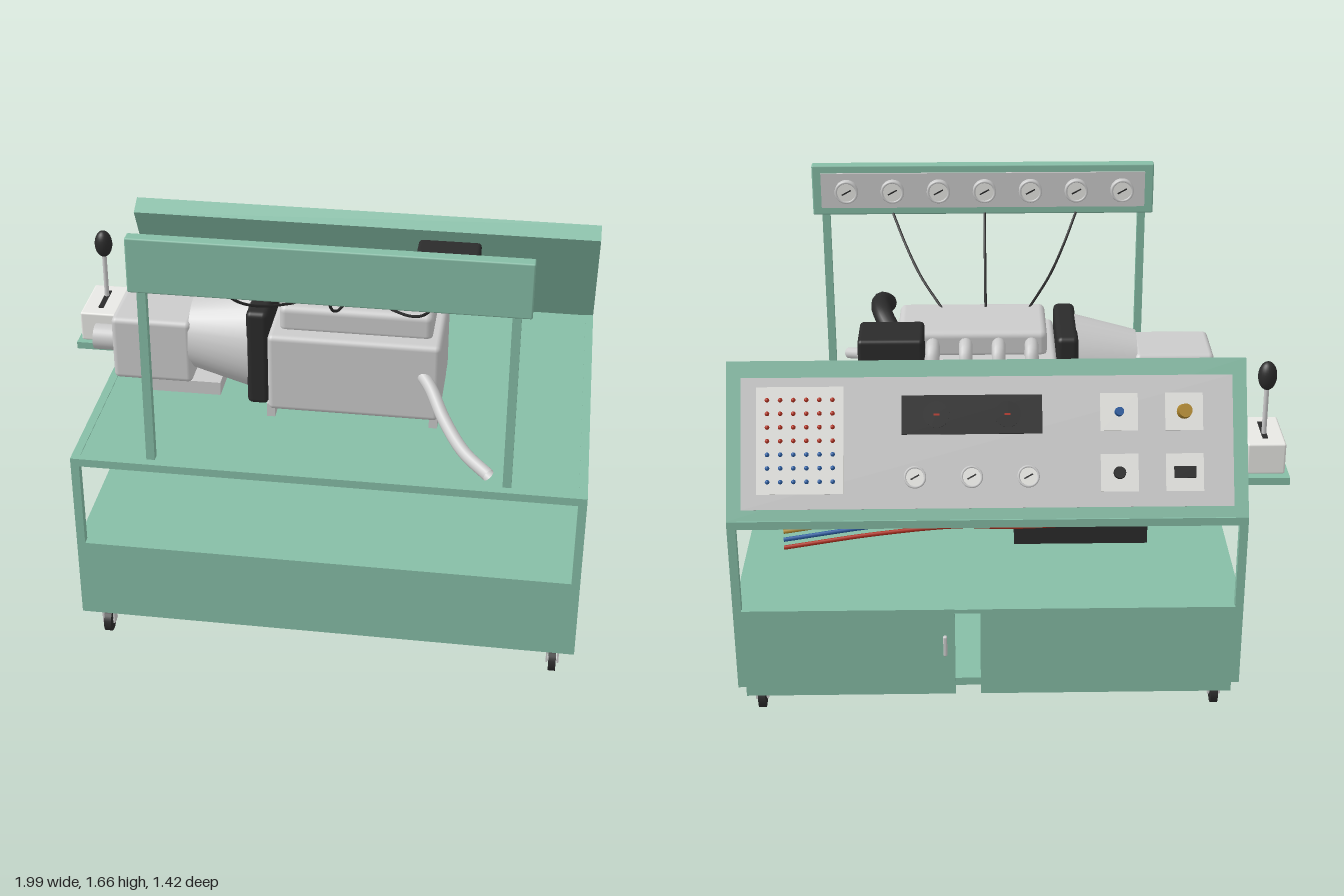
import * as THREE from 'three';
import { RoundedBoxGeometry } from 'three/addons/geometries/RoundedBoxGeometry.js';

const mat = (color) => new THREE.MeshStandardMaterial({ color, side: THREE.DoubleSide });
const GREEN = mat(0x86bda6), GREY = mat(0xcccccc), BLACK = mat(0x2b2b2b), WHITE = mat(0xe8e8e4);
const RED = mat(0xb03020), BLUE = mat(0x2a5ca0), GOLD = mat(0xb08830);

function add(parent, name, geometry, material, x = 0, y = 0, z = 0) {
  const mesh = new THREE.Mesh(geometry, material);
  mesh.name = name;
  mesh.position.set(x, y, z);
  parent.add(mesh);
  return mesh;
}

// Box given by its limits on each axis; r rounds the edges
function box(parent, name, material, [x0, x1], [y0, y1], [z0, z1], r = 0) {
  const w = x1 - x0, h = y1 - y0, d = z1 - z0;
  const geo = r ? new RoundedBoxGeometry(w, h, d, 3, r) : new THREE.BoxGeometry(w, h, d);
  return add(parent, name, geo, material, (x0 + x1) / 2, (y0 + y1) / 2, (z0 + z1) / 2);
}

// Cylinder along a chosen axis; r1 is the radius at the positive end
function cyl(parent, name, material, axis, r0, r1, len, x, y, z, seg = 32) {
  const geo = new THREE.CylinderGeometry(r1, r0, len, seg);
  if (axis === 'x') geo.rotateZ(-Math.PI / 2);
  if (axis === 'z') geo.rotateX(Math.PI / 2);
  return add(parent, name, geo, material, x, y, z);
}

function tube(parent, name, material, points, r, seg = 32) {
  const curve = new THREE.CatmullRomCurve3(points.map((p) => new THREE.Vector3(...p)));
  return add(parent, name, new THREE.TubeGeometry(curve, seg, r, 12), material);
}

// Dial facing local +z
function gauge(parent, x, y, z, r) {
  const g = new THREE.Group();
  g.name = 'gauge';
  g.position.set(x, y, z);
  cyl(g, 'gaugeBody', GREY, 'z', r, r, 0.022, 0, 0, 0.011);
  add(g, 'gaugeBezel', new THREE.TorusGeometry(r * 0.9, r * 0.12, 8, 32), GREY, 0, 0, 0.022);
  cyl(g, 'gaugeFace', WHITE, 'z', r * 0.8, r * 0.8, 0.004, 0, 0, 0.022);
  const needle = add(g, 'needle', new THREE.BoxGeometry(r * 0.9, 0.005, 0.003), BLACK, 0, 0, 0.026);
  needle.rotation.z = 0.5;
  parent.add(g);
}

function buildCart(root) {
  const g = new THREE.Group();
  g.name = 'cart';
  const X = [-0.81, 0.99], Z = [-0.69, 0.71], t = 0.03;
  const ends = ([a, b]) => [[a, a + t], [b - t, b]];

  // Corner posts and rails
  for (const x of ends(X)) for (const z of ends(Z)) box(g, 'cornerPost', GREEN, x, [0.13, 0.8], z);
  for (const y of [[0.13, 0.16], [0.77, 0.8]]) {
    for (const z of ends(Z)) box(g, 'longRail', GREEN, X, y, z);
    for (const x of ends(X)) box(g, 'sideRail', GREEN, x, y, Z);
  }
  // Deck, shelf, floor and cabinet walls
  box(g, 'deck', GREEN, [-0.785, 0.965], [0.78, 0.797], [-0.665, 0.685]);
  box(g, 'shelf', GREEN, [-0.805, 0.985], [0.425, 0.44], [-0.685, 0.705]);
  box(g, 'floor', GREEN, [-0.785, 0.965], [0.14, 0.155], [-0.665, 0.685]);
  box(g, 'frontPanel', GREEN, X, [0.13, 0.44], [0.695, 0.71]);
  for (const x of [[-0.81, -0.795], [0.975, 0.99]]) box(g, 'sidePanel', GREEN, x, [0.13, 0.44], Z);
  // Rear doors with a gap, and a handle
  box(g, 'door', GREEN, [-0.78, 0.12], [0.1, 0.45], [-0.7, -0.688]);
  box(g, 'door', GREEN, [0.21, 0.96], [0.1, 0.45], [-0.7, -0.688]);
  box(g, 'doorHandle', GREY, [0.238, 0.252], [0.265, 0.345], [-0.715, -0.698], 0.005);

  // Casters
  for (const x of [-0.73, 0.915]) for (const z of [-0.61, 0.635]) {
    cyl(g, 'casterWheel', BLACK, 'x', 0.045, 0.045, 0.026, x, 0.045, z);
    cyl(g, 'casterAxle', GREY, 'x', 0.01, 0.01, 0.045, x, 0.045, z, 12);
    for (const s of [-1, 1]) box(g, 'casterFork', GREY, [x + s * 0.02 - 0.003, x + s * 0.02 + 0.003], [0.04, 0.115], [z - 0.02, z + 0.02]);
    cyl(g, 'casterSwivel', GREY, 'y', 0.03, 0.03, 0.03, x, 0.112, z);
    box(g, 'casterPlate', GREEN, [x - 0.04, x + 0.04], [0.12, 0.132], [z - 0.04, z + 0.04]);
  }
  root.add(g);
}

function buildEngine(root) {
  const g = new THREE.Group();
  g.name = 'engine';
  box(g, 'engineBlock', GREY, [-0.17, 0.45], [0.83, 1.135], [-0.075, 0.34], 0.02);
  box(g, 'valveCover', GREY, [-0.135, 0.415], [1.12, 1.225], [-0.025, 0.28], 0.025);
  for (const x of [-0.16, 0.43]) box(g, 'engineFoot', GREY, [x - 0.015, x + 0.015], [0.798, 0.85], [-0.065, 0.33]);
  box(g, 'flange', BLACK, [-0.25, -0.17], [0.835, 1.21], [-0.055, 0.315], 0.02);
  cyl(g, 'bellHousing', GREY, 'x', 0.135, 0.195, 0.23, -0.36, 1.025, 0.13);
  box(g, 'gearbox', GREY, [-0.76, -0.465], [0.865, 1.115], [0.005, 0.255], 0.02);
  cyl(g, 'outputShaft', GREY, 'x', 0.048, 0.048, 0.11, -0.8, 0.967, 0.13);
  box(g, 'gearboxMount', GREY, [-0.66, -0.37], [0.798, 0.85], [0.05, 0.21]);

  // Intake manifold and runners
  cyl(g, 'manifold', GREY, 'x', 0.058, 0.058, 0.53, 0.1, 1.11, -0.172);
  for (let i = 0; i < 4; i++) {
    const x = -0.075 + i * 0.12;
    tube(g, 'intakeRunner', GREY, [[x, 1.13, -0.16], [x, 1.19, -0.13], [x, 1.2, -0.08], [x, 1.15, -0.035], [x, 1.1, -0.03]], 0.025, 20);
  }
  // Air filter and hose
  box(g, 'airFilter', BLACK, [0.315, 0.55], [1.14, 1.278], [-0.23, -0.035], 0.015);
  tube(g, 'airHose', BLACK, [[0.43, 1.235, -0.05], [0.465, 1.275, 0.02], [0.48, 1.285, 0.1], [0.475, 1.275, 0.17], [0.46, 1.25, 0.215]], 0.036);
  // Exhaust pipe
  tube(g, 'exhaustPipe', GREY, [[0.37, 1.02, 0.3], [0.42, 0.99, 0.37], [0.48, 0.93, 0.48], [0.56, 0.88, 0.6], [0.65, 0.85, 0.685]], 0.023);
  root.add(g);
}

function buildGaugeBar(root) {
  const g = new THREE.Group();
  g.name = 'gaugeBar';
  for (const x of [-0.53, 0.715]) box(g, 'barPost', GREEN, [x - 0.015, x + 0.015], [0.79, 1.47], [0.643, 0.673]);
  box(g, 'barBody', GREEN, [-0.575, 0.765], [1.46, 1.66], [0.637, 0.682], 0.006);
  box(g, 'barFaceplate', GREY, [-0.54, 0.73], [1.49, 1.63], [0.63, 0.64]);
  const dials = new THREE.Group();
  dials.name = 'barGauges';
  dials.rotation.y = Math.PI;
  dials.position.set(0.09, 1.56, 0.63);
  for (let i = -3; i <= 3; i++) gauge(dials, i * 0.18, 0, 0, 0.045);
  g.add(dials);
  // Sensor wires down to the engine
  for (const s of [-1, 0, 1]) {
    const curve = [[0.09 + s * 0.36, 1.465, 0.635], [0.09 + s * 0.31, 1.37, 0.535], [0.09 + s * 0.25, 1.29, 0.4], [0.09 + s * 0.165, 1.22, 0.23]];
    tube(g, 'sensorWire', BLACK, curve, 0.005);
  }
  root.add(g);
}

function buildControlPanel(root) {
  // Local +y runs up the slope, +z out of the face, and x is mirrored
  const g = new THREE.Group();
  g.name = 'controlPanel';
  g.rotation.set(-0.5, Math.PI, 0, 'YXZ');
  g.position.set(0.09, 1.0425, -0.5525);
  const at = (x) => 0.09 - x;
  const plate = (name, m, x, y, w, h, z0, z1) => box(g, name, m, [at(x) - w / 2, at(x) + w / 2], [y - h / 2, y + h / 2], [z0, z1]);
  plate('panelBody', GREEN, 0.09, 0, 1.8, 0.553, -0.073, 0);
  plate('panelFaceplate', GREY, 0.09, -0.01, 1.7, 0.455, -0.005, 0.005);

  // Four switch modules
  for (const [x, y, m, r, h] of [[-0.59, 0.09, GOLD, 0.026, 0.05], [-0.365, 0.09, BLUE, 0.016, 0.04], [-0.365, -0.12, BLACK, 0.022, 0.02]]) {
    plate('switchPlate', WHITE, x, y, 0.13, 0.13, 0, 0.014);
    cyl(g, 'knob', m, 'z', r, r * 0.9, h, at(x), y, 0.014 + h / 2, 20);
  }
  plate('switchPlate', WHITE, -0.59, -0.12, 0.13, 0.13, 0, 0.014);
  plate('rockerSwitch', BLACK, -0.59, -0.12, 0.075, 0.04, 0.01, 0.026);

  // Small gauges and display unit
  for (const x of [-0.05, 0.145, 0.34]) gauge(g, at(x), -0.13, 0.004, 0.038);
  plate('displayUnit', BLACK, 0.143, 0.085, 0.485, 0.135, 0, 0.018);
  for (const x of [0.02, 0.265]) {
    cyl(g, 'displayDial', BLACK, 'z', 0.045, 0.045, 0.008, at(x), 0.085, 0.021);
    plate('dialNeedle', RED, x, 0.085, 0.02, 0.006, 0.02, 0.027);
  }
  // Indicator board
  plate('indicatorBoard', WHITE, 0.735, 0, 0.3, 0.37, 0, 0.012);
  for (let row = 0; row < 7; row++) for (let col = 0; col < 6; col++) {
    add(g, 'indicator', new THREE.SphereGeometry(0.008, 10, 8), row < 4 ? RED : BLUE, at(0.735) + (col - 2.5) * 0.045, 0.14 - row * 0.047, 0.013);
  }
  root.add(g);
}

function buildLever(root) {
  const g = new THREE.Group();
  g.name = 'shiftLever';
  box(g, 'leverBracket', GREEN, [-1, -0.8], [0.772, 0.8], [-0.39, -0.1]);
  box(g, 'leverBox', WHITE, [-0.985, -0.845], [0.8, 0.92], [-0.36, -0.12], 0.008);
  box(g, 'leverSlot', BLACK, [-0.925, -0.905], [0.915, 0.923], [-0.31, -0.17]);
  cyl(g, 'leverRod', GREY, 'y', 0.009, 0.009, 0.22, -0.915, 1.02, -0.27, 16);
  add(g, 'leverKnob', new THREE.SphereGeometry(0.034, 24, 16), BLACK, -0.915, 1.15, -0.27).scale.y = 1.6;
  root.add(g);
}

function buildWiring(root) {
  const g = new THREE.Group();
  g.name = 'wiring';
  box(g, 'junctionBox', BLACK, [-0.51, -0.01], [0.44, 0.615], [-0.21, 0.035]);
  [BLACK, GOLD, BLUE, RED].forEach((m, i) => {
    const d = i * 0.03, z = -0.225 - i * 0.006;
    tube(g, 'cable', m, [[-0.61, 0.65 - i * 0.016, z - 0.06], [-0.35, 0.625 - i * 0.022, z - 0.02], [0, 0.612 - d * 0.9, z],
      [0.2, 0.626 - d, z], [0.5, 0.608 - d, z - 0.02], [0.845, 0.57 - d, z - 0.05]], 0.008, 48);
  });
  root.add(g);
}

export function createModel() {
  const root = new THREE.Group();
  root.name = 'engineTrainingStand';
  for (const build of [buildCart, buildEngine, buildGaugeBar, buildControlPanel, buildLever, buildWiring]) build(root);
  return root;
}
